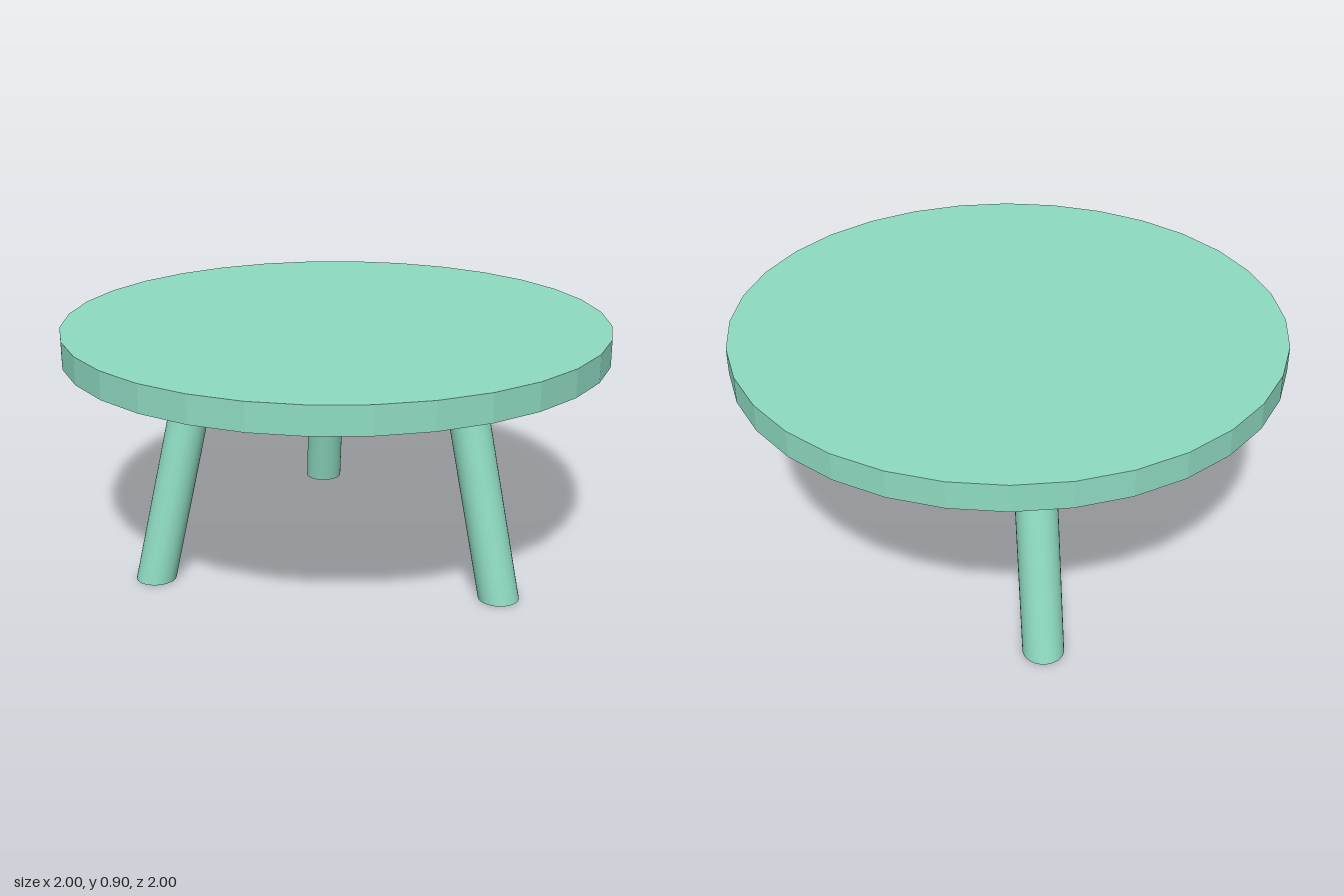
import * as THREE from 'three';

export function createModel() {
  const group = new THREE.Group();
  const color = 0x8fdcc3;

  // Round faceted table top
  const top = new THREE.Mesh(
    new THREE.CylinderGeometry(1, 1, 0.1, 32),
    new THREE.MeshStandardMaterial({ color, flatShading: true })
  );
  top.name = 'tableTop';
  top.position.y = 0.85;
  group.add(top);

  // Splayed legs: sheared cylinders, so both ends stay level
  const height = 0.8;
  const legMaterial = new THREE.MeshStandardMaterial({ color });
  const addLeg = (name, [x0, z0], [x1, z1]) => {
    const geometry = new THREE.CylinderGeometry(0.073, 0.073, height, 32);
    geometry.translate(0, height / 2, 0);
    const shear = new THREE.Matrix4().set(
      1, (x1 - x0) / height, 0, x0,
      0, 1, 0, 0,
      0, (z1 - z0) / height, 1, z0,
      0, 0, 0, 1
    );
    geometry.applyMatrix4(shear);
    const leg = new THREE.Mesh(geometry, legMaterial);
    leg.name = name;
    group.add(leg);
  };

  // Foot position, then position under the top, as [x, z]
  addLeg('leftLeg', [0.74, 0], [0.555, 0]);
  addLeg('frontRightLeg', [-0.335, 0.64], [-0.235, 0.485]);
  addLeg('backRightLeg', [-0.515, -0.557], [-0.382, -0.43]);

  return group;
}
